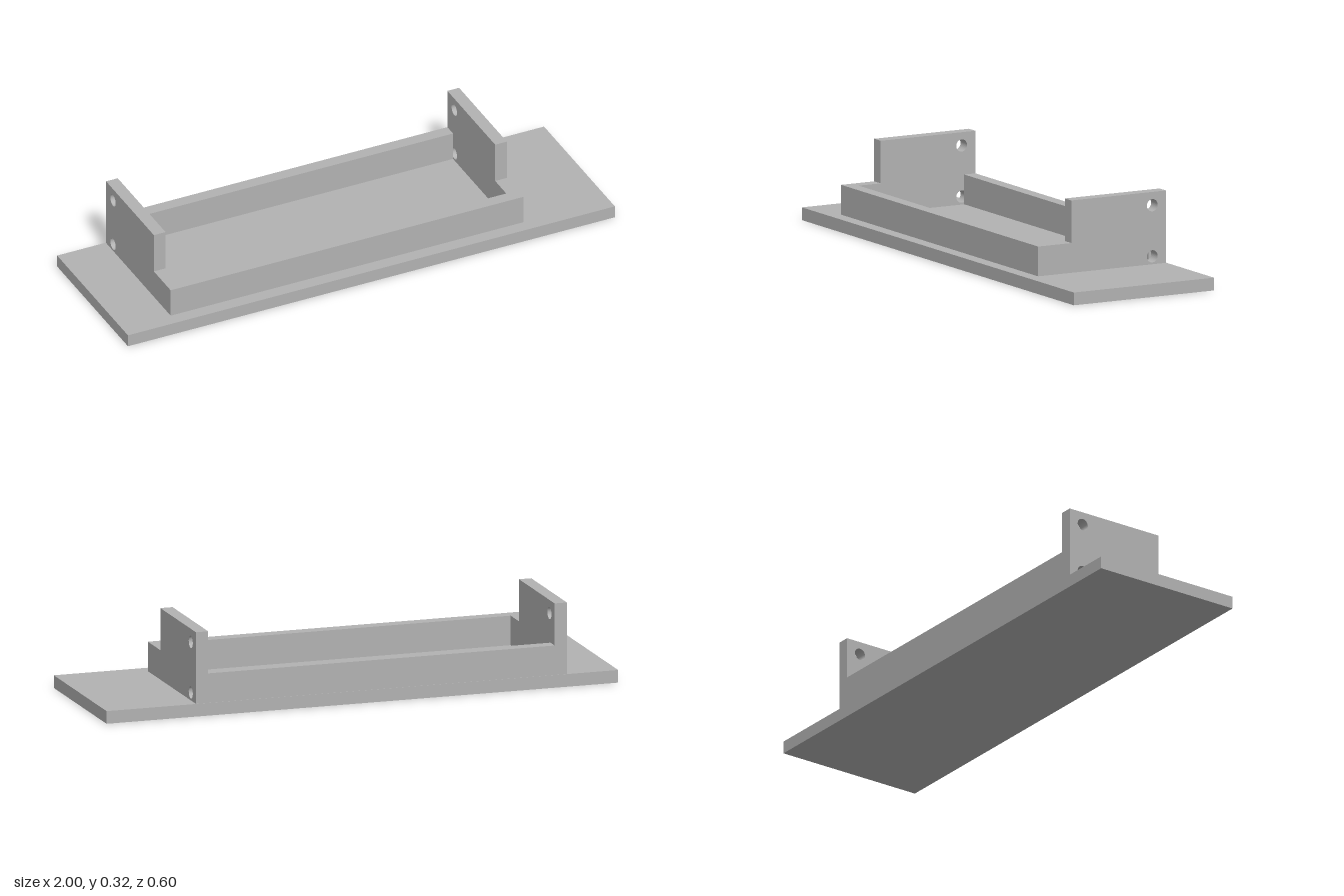
import * as THREE from 'three';

export function createModel() {
  const model = new THREE.Group();
  const grey = new THREE.MeshStandardMaterial({ color: 0xb2b2b2 });
  grey.name = 'grey';

  const BASE = 0.048, RIM = 0.16, TOP = 0.32;
  const FRONT = 0.249, BACK = -0.298, STEP = 0.107;
  const WALL = 0.048, LEFT = 0.65, RIGHT = -0.8;

  const add = (name, geometry, x, y, z) => {
    const mesh = new THREE.Mesh(geometry, grey);
    mesh.name = name;
    mesh.position.set(x, y, z);
    model.add(mesh);
  };

  // Flat base plate
  add('basePlate', new THREE.BoxGeometry(2, BASE, 0.6), 0, BASE / 2, 0);

  // Stepped side bracket with two screw holes, drawn with shape x = -z
  const profile = new THREE.Shape([
    [-FRONT, BASE], [-BACK, BASE], [-BACK, TOP],
    [-STEP, TOP], [-STEP, RIM], [-FRONT, RIM],
  ].map(([x, y]) => new THREE.Vector2(x, y)));
  for (const y of [0.078, 0.27]) {
    profile.holes.push(new THREE.Path().absarc(0.239, y, 0.023, 0, Math.PI * 2, true));
  }
  const bracket = new THREE.ExtrudeGeometry(profile, {
    depth: WALL, bevelEnabled: false, curveSegments: 32,
  }).rotateY(Math.PI / 2);
  add('rightBracket', bracket, RIGHT, 0, 0);
  add('leftBracket', bracket, LEFT - WALL, 0, 0);

  // Low walls joining the brackets
  const length = LEFT - RIGHT - 2 * WALL;
  const wall = new THREE.BoxGeometry(length, RIM - BASE, WALL);
  const midX = (LEFT + RIGHT) / 2, midY = (RIM + BASE) / 2;
  add('frontWall', wall, midX, midY, FRONT - WALL / 2);
  add('backWall', wall, midX, midY, BACK + WALL / 2);

  return model;
}
